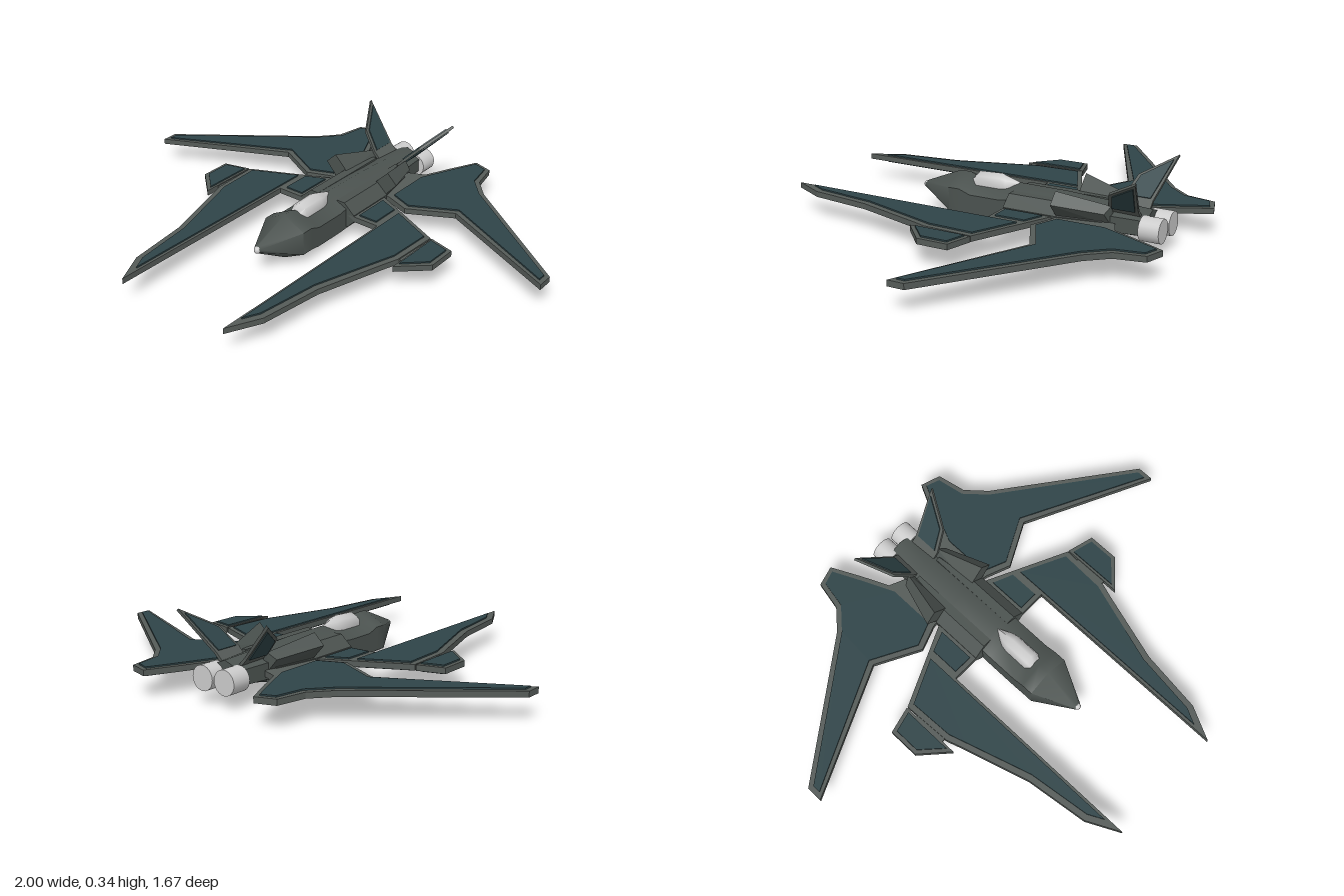
import * as THREE from 'three';
import { toCreasedNormals } from 'three/addons/utils/BufferGeometryUtils.js';
import { ConvexGeometry } from 'three/addons/geometries/ConvexGeometry.js';

const hullMat = new THREE.MeshStandardMaterial({ color: 0x4b524f });
const trimMat = new THREE.MeshStandardMaterial({ color: 0x555b58 });
const panelMat = new THREE.MeshStandardMaterial({ color: 0x2f4448 });
const lightMat = new THREE.MeshStandardMaterial({ color: 0xcccccc });
const WING_Y = 0.104;

// Hexagonal loft along z; each ring is [z, halfWidth, bottomY, topY]
function loft(rings, sides = 6) {
  const pos = [], idx = [];
  for (const [z, w, y0, y1] of rings) {
    for (let i = 0; i < sides; i++) {
      const a = Math.PI / 2 + (i / sides) * Math.PI * 2;
      const k = sides === 6 ? Math.cos(Math.PI / 6) : 1;
      pos.push((Math.cos(a) * w) / k, (y0 + y1) / 2 + (Math.sin(a) * (y1 - y0)) / 2, z);
    }
  }
  for (let r = 0; r < rings.length - 1; r++) {
    for (let i = 0; i < sides; i++) {
      const a = r * sides + i, b = r * sides + ((i + 1) % sides);
      idx.push(a, a + sides, b, b, a + sides, b + sides);
    }
  }
  const last = (rings.length - 1) * sides;
  for (let i = 1; i < sides - 1; i++) {
    idx.push(0, i, i + 1, last, last + i + 1, last + i);
  }
  const g = new THREE.BufferGeometry();
  g.setAttribute('position', new THREE.Float32BufferAttribute(pos, 3));
  g.setIndex(idx);
  return toCreasedNormals(g, 1.1);
}

// Flat plate from an outline of [x, z] points, centred on y = 0
function plate(points, thickness) {
  const shape = new THREE.Shape(points.map(([x, z]) => new THREE.Vector2(x, z)));
  const g = new THREE.ExtrudeGeometry(shape, { depth: thickness, bevelEnabled: false });
  return g.translate(0, 0, -thickness / 2).rotateX(Math.PI / 2);
}

// Mirror across x = 0, swapping corners so faces keep pointing outward
function mirrored(geometry) {
  const g = geometry.index ? geometry.toNonIndexed() : geometry.clone();
  const p = g.attributes.position;
  for (let i = 0; i < p.count; i += 3) {
    const v = [0, 2, 1].map((k) => new THREE.Vector3().fromBufferAttribute(p, i + k));
    v.forEach((c, k) => p.setXYZ(i + k, -c.x, c.y, c.z));
  }
  g.computeVertexNormals();
  return g;
}

const convex = (points) => new ConvexGeometry(points.map((p) => new THREE.Vector3(...p)));

export function createModel() {
  const model = new THREE.Group();
  model.name = 'starfighter';
  const add = (name, geometry, material) => {
    const mesh = new THREE.Mesh(geometry, material);
    mesh.name = name;
    model.add(mesh);
    return mesh;
  };
  const addPair = (name, geometry, material) => {
    add(name + 'Left', geometry, material);
    add(name + 'Right', mirrored(geometry), material);
  };

  // Fuselage
  add('fuselage', loft([
    [0.35, 0.014, 0.1, 0.128], [0.18, 0.1, 0, 0.2], [0.13, 0.1, 0, 0.2],
    [0.08, 0.1, 0, 0.176], [-0.06, 0.1, 0, 0.176], [-0.11, 0.1, 0, 0.188],
    [-0.32, 0.1, 0, 0.186], [-0.53, 0.09, 0.045, 0.175], [-0.69, 0.075, 0.05, 0.168],
  ]), hullMat);
  add('noseTip', new THREE.SphereGeometry(0.015, 12, 8).translate(0, 0.114, 0.347), lightMat);
  add('canopy', loft([
    [0.125, 0.028, 0.14, 0.168], [0.085, 0.042, 0.11, 0.21], [-0.02, 0.042, 0.11, 0.215],
    [-0.05, 0.036, 0.12, 0.205], [-0.11, 0.003, 0.15, 0.186],
  ], 8), lightMat);

  // Side fairings that carry the wing roots
  const fairing = (z, s) => [
    [0.05, 0.055, z], [0.107 * s, 0.055, z], [0.14 * s, 0.09, z],
    [0.14 * s, 0.12, z], [0.09 * s, 0.165, z], [0.05, 0.165, z],
  ];
  addPair('rootFairing', convex([...fairing(-0.1, 1), ...fairing(-0.33, 1), ...fairing(-0.52, 0.75)]), hullMat);

  // Slanted intakes tapering toward the tail
  addPair('intake', convex([
    [0.187, 0.18, -0.335], [0.14, 0.225, -0.335], [0.065, 0.15, -0.335], [0.115, 0.1, -0.335],
    [0.12, 0.155, -0.535], [0.085, 0.182, -0.55], [0.05, 0.13, -0.55], [0.08, 0.1, -0.55],
  ]), hullMat);

  // Engines
  addPair('engine', new THREE.CylinderGeometry(0.05, 0.05, 0.085, 24)
    .rotateX(Math.PI / 2).translate(0.054, 0.104, -0.712), lightMat);
  model.getObjectByName('engineRight').geometry = model.getObjectByName('engineLeft').geometry
    .clone().translate(-0.108, 0, 0);

  // Wings: grey plates with thicker dark panels set in from the edge
  const wing = (name, points, thickness, material) =>
    addPair(name, plate(points, thickness).translate(0, WING_Y, 0), material);

  wing('rearWing', [
    [0.09, -0.34], [0.16, -0.33], [0.265, -0.29], [0.455, -0.39], [1, -0.13], [1, -0.2],
    [0.46, -0.605], [0.385, -0.69], [0.36, -0.815], [0.275, -0.842], [0.21, -0.71],
    [0.16, -0.6], [0.09, -0.57],
  ], 0.024, trimMat);
  wing('rearWingPanel', [
    [0.165, -0.355], [0.265, -0.315], [0.455, -0.415], [0.98, -0.155], [0.98, -0.19],
    [0.445, -0.59], [0.365, -0.68], [0.343, -0.8], [0.285, -0.82], [0.228, -0.7], [0.165, -0.56],
  ], 0.036, panelMat);

  wing('frontWing', [
    [0.08, -0.34], [0.145, -0.315], [0.485, -0.155], [0.475, 0.06], [0.455, 0.12],
    [0.365, 0.42], [0.33, 0.69], [0.26, 0.83], [0.26, -0.1], [0.08, -0.1],
  ], 0.024, trimMat);
  wing('frontWingPanel', [
    [0.272, -0.235], [0.46, -0.145], [0.452, 0.05], [0.43, 0.12], [0.34, 0.41],
    [0.305, 0.68], [0.272, 0.745],
  ], 0.036, panelMat);
  wing('frontWingRootPanel', [[0.155, -0.285], [0.24, -0.25], [0.24, -0.12], [0.155, -0.12]], 0.036, panelMat);

  wing('outerFin', [[0.49, -0.155], [0.605, -0.125], [0.605, 0.01], [0.49, 0.115]], 0.024, trimMat);
  wing('outerFinPanel', [[0.5, -0.135], [0.588, -0.112], [0.588, 0.002], [0.5, 0.085]], 0.036, panelMat);
  // Hinge bar joining the outer fin to the front wing
  wing('outerFinHinge', [[0.465, -0.1], [0.5, -0.1], [0.5, 0.05], [0.465, 0.05]], 0.014, trimMat);

  // Canted tail fins: plates in (span, z), tilted up and out
  const tail = (name, points, thickness, material) =>
    addPair(name, plate(points, thickness).rotateZ(0.8).translate(0.07, 0.172, 0), material);
  tail('tailFin', [
    [-0.04, -0.535], [0.01, -0.535], [0.11, -0.565], [0.222, -0.705], [0.005, -0.66], [-0.04, -0.66],
  ], 0.012, trimMat);
  tail('tailFinPanel', [[0.01, -0.55], [0.105, -0.578], [0.195, -0.69], [0.01, -0.648]], 0.022, panelMat);

  return model;
}
